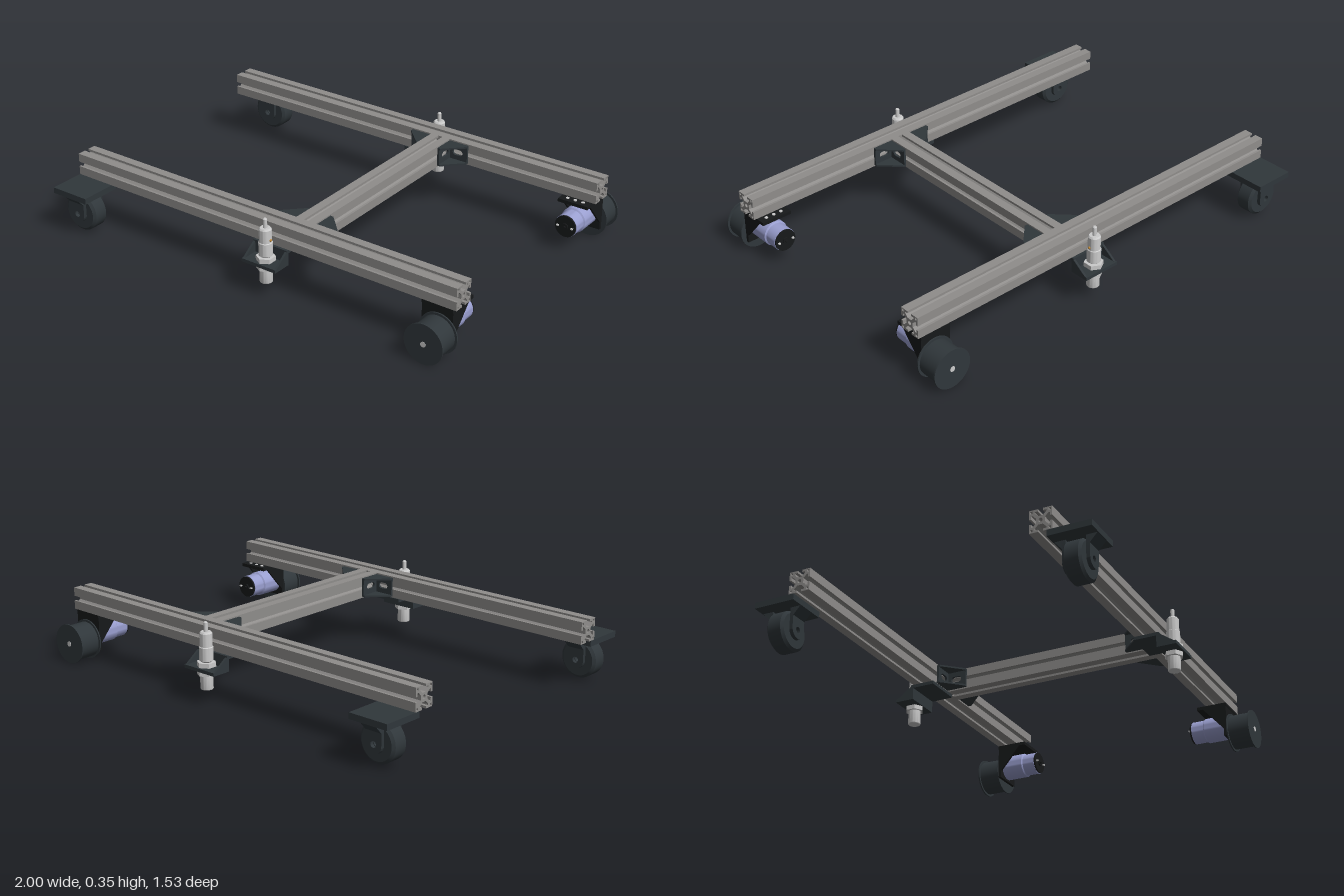
import * as THREE from 'three';
import { toCreasedNormals } from 'three/addons/utils/BufferGeometryUtils.js';

const mat = (color) => new THREE.MeshStandardMaterial({ color });
const ALU = mat(0x8f8d8b), DARK = mat(0x30373b), BLACK = mat(0x17191a);
const BLUE = mat(0x9a9fd0), STEEL = mat(0xcccccc), BRASS = mat(0xc08a3a);

function add(parent, name, geometry, material, x = 0, y = 0, z = 0) {
  const m = new THREE.Mesh(geometry, material);
  m.name = name;
  m.position.set(x, y, z);
  parent.add(m);
  return m;
}

// box given by its limits; z limits may come in either order
function box(parent, name, material, x0, x1, y0, y1, z0, z1) {
  return add(parent, name, new THREE.BoxGeometry(x1 - x0, y1 - y0, Math.abs(z1 - z0)), material,
    (x0 + x1) / 2, (y0 + y1) / 2, (z0 + z1) / 2);
}

const shapeOf = (pts) => new THREE.Shape(pts.map(([x, y]) => new THREE.Vector2(x, y)));
const extrude = (shape, depth) => toCreasedNormals(
  new THREE.ExtrudeGeometry(shape, { depth, bevelEnabled: false, curveSegments: 16 }).translate(0, 0, -depth / 2), 0.6);

// turned part, profile of [radius, height]
const turned = (pts, seg = 40) => toCreasedNormals(
  new THREE.LatheGeometry(pts.map(([r, h]) => new THREE.Vector2(r, h)), seg), 0.6);

// prism along x with its outline in [z, y]
const prismX = (pts, depth) => extrude(shapeOf(pts), depth).rotateY(-Math.PI / 2);

function circleHole(shape, x, y, r) {
  const p = new THREE.Path();
  p.absarc(x, y, r, 0, Math.PI * 2, true);
  shape.holes.push(p);
}

// slotted aluminium profile: one side, turned four times
function railGeometry(length) {
  const side = [[.05, -.011], [.04, -.011], [.04, -.025], [.034, -.025], [.019, -.01], [.019, .01],
    [.034, .025], [.04, .025], [.04, .011], [.05, .011], [.05, .05]];
  const pts = [];
  for (let k = 0; k < 4; k++) {
    const c = Math.round(Math.cos(k * Math.PI / 2)), s = Math.round(Math.sin(k * Math.PI / 2));
    side.forEach(([x, y]) => pts.push([x * c - y * s, x * s + y * c]));
  }
  const shape = shapeOf(pts);
  circleHole(shape, 0, 0, .009);
  for (const a of [-.04, .04]) for (const b of [-.04, .04]) {
    const e = .005;
    shape.holes.push(new THREE.Path([[-e, -e], [-e, e], [e, e], [e, -e]].map(([x, y]) => new THREE.Vector2(a + x, b + y))));
  }
  return extrude(shape, length);
}

// corner bracket: two legs and two webs; d = side of the beam, s = which rail
function cornerBracket(parent, d, s) {
  const g = new THREE.Group();
  g.name = 'cornerBracket';
  parent.add(g);
  const x = (v) => .19 + d * v, z = (v) => s * v;
  const web = shapeOf([[x(.05), z(.5)], [x(.15), z(.5)], [x(.15), z(.485)], [x(.065), z(.4)], [x(.05), z(.4)]]);
  for (const y of [.225, .305])
    add(g, 'web', extrude(web, .008).rotateX(Math.PI / 2), DARK, 0, y, 0);
  // slotted leg, outline in length and height
  const leg = () => {
    const shape = shapeOf([[-.05, -.036], [.05, -.036], [.05, .036], [-.05, .036]]);
    const slot = new THREE.Path();
    slot.absarc(-.012, 0, .014, Math.PI / 2, Math.PI * 1.5, false);
    slot.absarc(.012, 0, .014, -Math.PI / 2, Math.PI / 2, false);
    shape.holes.push(slot);
    return extrude(shape, .01);
  };
  add(g, 'railLeg', leg(), DARK, x(.1), .265, z(.495));
  add(g, 'beamLeg', leg().rotateY(Math.PI / 2), DARK, x(.055), .265, z(.45));
}

function driveUnit(parent, s) {
  const g = new THREE.Group();
  g.name = 'driveUnit';
  parent.add(g);
  // flanged wheel
  const wheel = turned([[0, -.054], [.09, -.054], [.09, -.048], [.08, -.048], [.08, .048], [.09, .048], [.09, .054], [0, .054]], 48);
  add(g, 'driveWheel', wheel.rotateX(Math.PI / 2), DARK, .91, .09, s * .652);
  add(g, 'wheelShaft', new THREE.CylinderGeometry(.012, .012, .122, 20).rotateX(Math.PI / 2), STEEL, .91, .09, s * .647);
  // angled motor mount with gussets and bolt holes
  box(g, 'mountTop', BLACK, .83, .975, .2, .215, s * .455, s * .6);
  box(g, 'mountFace', BLACK, .83, .975, .05, .2, s * .584, s * .598);
  for (const x of [.835, .97])
    add(g, 'mountGusset', prismX([[s * .485, .2], [s * .585, .2], [s * .585, .085]], .01), BLACK, x, 0, 0);
  for (const x of [.865, .902, .94])
    add(g, 'mountBolt', new THREE.CylinderGeometry(.008, .008, .006, 12), STEEL, x, .215, s * .48);
  // gear motor, running inward
  const motor = turned([[0, 0], [.058, 0], [.058, .105], [.052, .11], [.052, .17], [0, .17]]);
  add(g, 'motor', motor.rotateX(-s * Math.PI / 2), BLUE, .9, .118, s * .585);
  const cap = turned([[0, 0], [.05, 0], [.05, .008], [.015, .008], [.015, .014], [.006, .014], [.006, .02], [0, .02]]);
  add(g, 'motorCap', cap.rotateX(-s * Math.PI / 2), BLACK, .9, .118, s * .415);
  for (const x of [-.035, .035])
    box(g, 'motorTerminal', STEEL, .9 + x - .005, .9 + x + .005, .115, .121, s * .398, s * .41);
}

function caster(parent, s) {
  const g = new THREE.Group();
  g.name = 'caster';
  parent.add(g);
  box(g, 'casterPlate', DARK, -1, -.81, .188, .215, s * .575, s * .765);
  const wheel = turned([[.014, -.04], [.075, -.04], [.087, -.03], [.087, .03], [.075, .04], [.014, .04], [.014, -.04]], 48);
  add(g, 'casterWheel', wheel.rotateX(Math.PI / 2), DARK, -.902, .099, s * .67);
  // fork arms with round ends, bored for the axle
  const arm = new THREE.Shape();
  arm.moveTo(.04, .095);
  arm.lineTo(-.04, .095);
  arm.lineTo(-.04, 0);
  arm.absarc(0, 0, .04, Math.PI, Math.PI * 2, false);
  circleHole(arm, 0, 0, .014);
  for (const k of [-1, 1]) {
    const z = s * .67 + k * .051;
    add(g, 'forkArm', extrude(arm, .016), DARK, -.902, .099, z);
    const o = z + k * .006;
    add(g, 'forkRib', prismX([[o, .19], [o + k * .036, .19], [o, .15]], .08), DARK, -.902, 0, 0);
  }
}

function probeUnit(parent, s) {
  const g = new THREE.Group();
  g.name = 'probeUnit';
  parent.add(g);
  // stepped bracket below the rail
  box(g, 'bracketFlange', DARK, 0, .175, .2, .215, s * .495, s * .6);
  box(g, 'bracketWall', DARK, 0, .175, .145, .215, s * .6, s * .612);
  box(g, 'bracketShelf', DARK, 0, .175, .145, .16, s * .6, s * .69);
  for (const x of [.005, .17])
    add(g, 'bracketGusset', prismX([[s * .61, .16], [s * .68, .16], [s * .61, .21]], .01), DARK, x, 0, 0);
  // threaded probe with hexagon nuts
  const body = turned([[0, .06], [.026, .06], [.028, .063], [.028, .125], [.022, .13], [.022, .18], [.03, .187],
    [.03, .245], [.027, .248], [.027, .305], [.022, .312], [.009, .312], [.009, .35], [.006, .354], [0, .354]], 32);
  add(g, 'probe', body, STEEL, .09, 0, s * .643);
  for (const y of [.134, .171])
    add(g, 'nut', toCreasedNormals(new THREE.CylinderGeometry(.042, .042, .02, 6), .5), STEEL, .09, y, s * .643);
  add(g, 'probeLamp', new THREE.SphereGeometry(.006, 12, 8), BRASS, .117, .26, s * .643);
}

export function createModel() {
  const root = new THREE.Group();
  root.name = 'wheeledFrame';

  add(root, 'crossBeam', railGeometry(1), ALU, .19, .265, 0);
  for (const s of [1, -1]) {
    add(root, 'sideRail', railGeometry(1.99).rotateY(Math.PI / 2), ALU, -.005, .265, s * .55);
    for (const d of [1, -1]) cornerBracket(root, d, s);
    driveUnit(root, s);
    caster(root, s);
    probeUnit(root, s);
  }
  return root;
}
